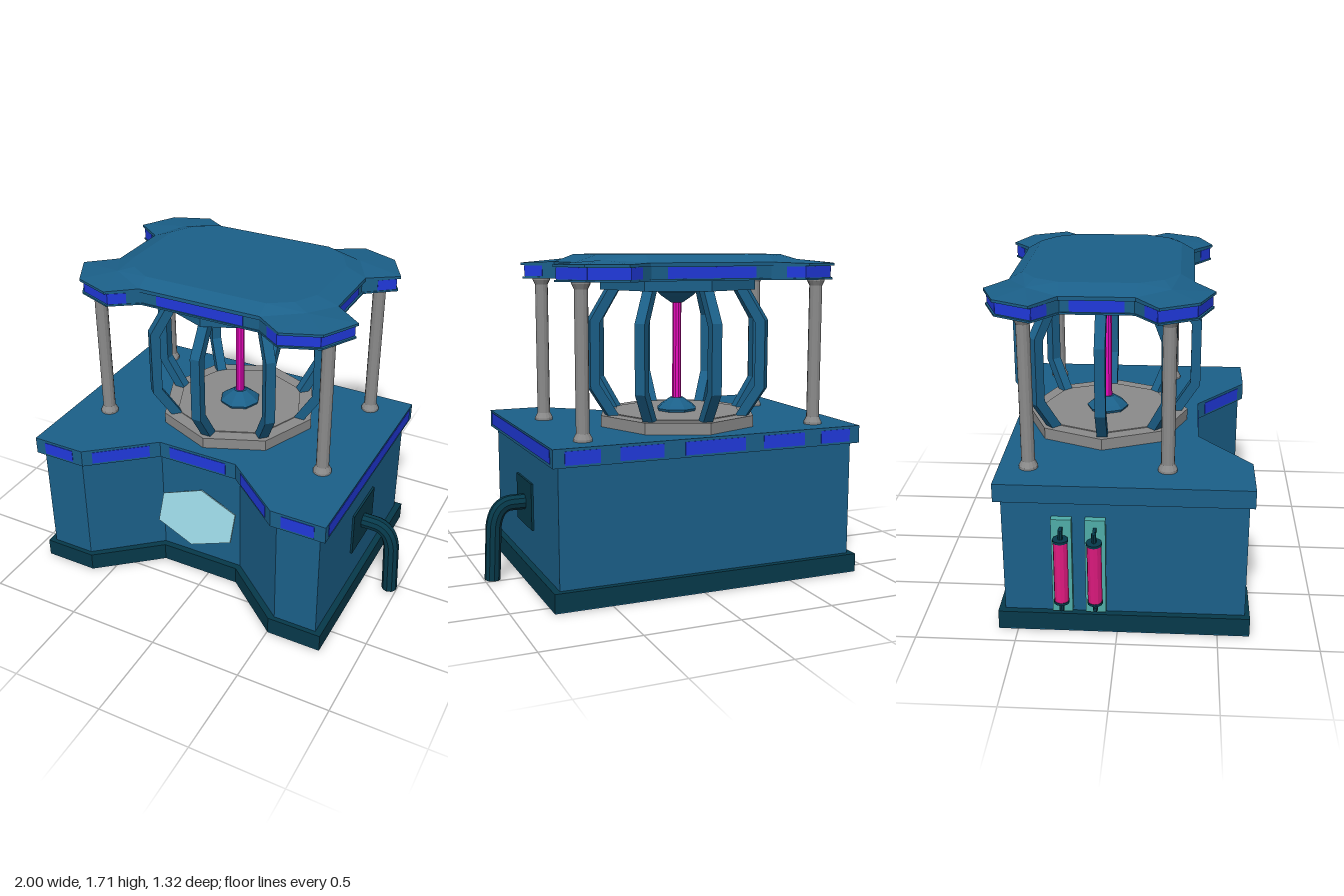
import * as THREE from 'three';
import { ConvexGeometry } from 'three/addons/geometries/ConvexGeometry.js';

const mat = (name, color) => {
  const m = new THREE.MeshStandardMaterial({ color });
  m.name = name;
  return m;
};

export function createModel() {
  const steel = mat('steelBlue', 0x1b6089);
  const dark = mat('darkTeal', 0x06394a);
  const glow = mat('panelBlue', 0x2039dc);
  const grey = mat('grey', 0x8b8b8b);
  const glass = mat('paleGlass', 0x92cbd8);
  const mint = mat('mint', 0x4fada8);
  const pink = mat('pink', 0xe01a80);
  const beam = mat('magenta', 0xf60cc8);

  const model = new THREE.Group();
  const CX = -0.05, CZ = -0.105; // centre of the chamber and the roof

  function add(name, geo, material, x = 0, y = 0, z = 0, parent = model) {
    const g = geo.index ? geo.toNonIndexed() : geo;
    g.computeVertexNormals();
    const m = new THREE.Mesh(g, material);
    m.name = name;
    m.position.set(x, y, z);
    parent.add(m);
    return m;
  }
  const box = (w, h, d) => new THREE.BoxGeometry(w, h, d);
  const cyl = (r1, r2, h, n) => new THREE.CylinderGeometry(r1, r2, h, n);
  const shapeOf = (pts) => new THREE.Shape(pts.map(([x, y]) => new THREE.Vector2(x, y)));
  const profile = (pts) => pts.map(([x, y]) => new THREE.Vector2(x, y));

  // Horizontal slab from a plan outline of [x, z] points
  function slab(pts, y0, y1) {
    const g = new THREE.ExtrudeGeometry(shapeOf(pts.map(([x, z]) => [x, -z])), { depth: y1 - y0, bevelEnabled: false });
    return g.rotateX(-Math.PI / 2).translate(0, y0, 0);
  }
  // Thin glowing plate along the edge a-b, between fractions t0 and t1
  function edgePanel(name, a, b, t0, t1, y, h) {
    const dx = b[0] - a[0], dz = b[1] - a[1], t = (t0 + t1) / 2;
    const p = add(name, box(Math.hypot(dx, dz) * (t1 - t0), h, 0.005), glow, a[0] + dx * t, y, a[1] + dz * t);
    p.rotation.y = -Math.atan2(dz, dx);
  }

  // Base with a notched front
  const outer = [[-0.9, -0.597], [-0.9, 0.66], [-0.605, 0.66], [-0.28, 0.39], [0.175, 0.39], [0.505, 0.66], [0.8, 0.66], [0.8, -0.597]];
  const inner = [[-0.865, -0.565], [-0.865, 0.635], [-0.625, 0.635], [-0.295, 0.355], [0.185, 0.355], [0.53, 0.635], [0.765, 0.635], [0.765, -0.565]];
  add('underside', slab(outer, 0, 0.004), steel);
  add('plinth', slab(outer, 0.004, 0.1), dark);
  add('baseBody', slab(inner, 0.1, 0.716), steel);
  add('deckTrim', slab(outer, 0.716, 0.81), steel);
  const front = [[1, 2, 0.2, 0.8], [2, 3, 0.13, 0.86], [3, 4, 0.13, 0.87], [4, 5, 0.15, 0.87], [5, 6, 0.2, 0.8]];
  for (const [i, j, t0, t1] of front) edgePanel('frontDeckPanel', outer[i], outer[j], t0, t1, 0.762, 0.068);
  edgePanel('rightDeckPanel', outer[6], outer[7], 0.03, 0.965, 0.766, 0.068);
  for (const [x0, x1] of [[-0.84, -0.665], [-0.565, -0.325], [-0.22, 0.115], [0.23, 0.46], [0.56, 0.74]])
    edgePanel('backDeckPanel', [x0, -0.597], [x1, -0.597], 0, 1, 0.762, 0.068);

  // Tilted hexagonal window
  const hex = [[-0.222, 0.078], [0, 0.156], [0.222, 0.078], [0.222, -0.078], [0, -0.156], [-0.222, -0.078]];
  const win = new THREE.ExtrudeGeometry(shapeOf(hex), { depth: 0.012, bevelEnabled: false }).translate(0, 0, -0.012);
  add('hexWindow', win, glass, -0.045, 0.41, 0.43).rotation.x = -0.4;

  // Side pipe and its plate
  add('pipePlate', box(0.016, 0.25, 0.295), dark, 0.768, 0.41, 0.035);
  const path = new THREE.CurvePath();
  const v = (x, y) => new THREE.Vector3(x, y, 0.033);
  path.add(new THREE.LineCurve3(v(0.77, 0.41), v(0.85, 0.41)));
  path.add(new THREE.QuadraticBezierCurve3(v(0.85, 0.41), v(0.93, 0.405), v(0.945, 0.29)));
  path.add(new THREE.LineCurve3(v(0.945, 0.29), v(0.958, 0)));
  add('pipe', new THREE.TubeGeometry(path, 24, 0.042, 10), dark);
  add('pipeEnd', new THREE.CircleGeometry(0.042, 10).rotateX(Math.PI / 2), dark, 0.958, 0.001, 0.033);

  // Canisters on the left side
  for (const [x, z, tilt] of [[-0.935, -0.27, 0], [-0.945, -0.105, 0.07]]) {
    add('canisterPlate', box(0.035, 0.515, 0.1), mint, -0.8825, 0.372, z);
    const can = new THREE.Group();
    can.name = 'canister';
    can.position.set(x, 0.368, z);
    can.rotation.z = tilt;
    model.add(can);
    add('canisterTube', cyl(0.036, 0.036, 0.335, 12), pink, 0, 0, 0, can);
    for (const s of [1, -1]) {
      add('canisterCap', cyl(0.039, 0.039, 0.013, 12), dark, 0, s * 0.17, 0, can);
      add('canisterNeck', cyl(0.012, 0.012, 0.05, 8), dark, 0, s * 0.2, 0, can);
      add('canisterArm', box(0.06, 0.016, 0.016), dark, -0.915, 0.368 + s * 0.215, z);
    }
  }

  // Chamber floor and ceiling
  add('chamberFloor', cyl(0.435, 0.435, 0.06, 8), grey, CX, 0.84, CZ);
  add('chamberFloorInset', cyl(0.36, 0.36, 0.006, 8), grey, CX, 0.872, CZ);
  add('chamberCeiling', cyl(0.435, 0.435, 0.06, 8), steel, CX, 1.562, CZ);

  // Eight bent ribs
  const ribOuter = [[0.4, 0.865], [0.5, 1.02], [0.5, 1.375], [0.4, 1.535]];
  const ribInner = [[0.34, 1.535], [0.448, 1.36], [0.448, 1.035], [0.34, 0.865]];
  for (let i = 0; i < 8; i++) {
    const g = new THREE.ExtrudeGeometry(shapeOf([...ribOuter, ...ribInner]), { depth: 0.054, bevelEnabled: false });
    add('rib', g.translate(0, 0, -0.027), steel, CX, 0, CZ).rotation.y = i * Math.PI / 4;
  }

  // Emitters and beam
  const dish = profile([[0, 0], [0.105, 0], [0.112, 0.018], [0.09, 0.038], [0.035, 0.075], [0, 0.075]]);
  add('lowerEmitter', new THREE.LatheGeometry(dish, 8), steel, CX, 0.87, CZ);
  add('upperEmitter', new THREE.LatheGeometry(dish, 8).rotateX(Math.PI), steel, CX, 1.533, CZ);
  add('beam', cyl(0.024, 0.024, 0.53, 10), beam, CX, 1.2, CZ);

  // Four columns with flared ends
  const col = profile([[0, 0], [0.048, 0], [0.048, 0.012], [0.034, 0.04], [0.034, 0.74], [0.046, 0.765], [0.046, 0.785], [0, 0.785]]);
  for (const sx of [-1, 1]) for (const sz of [-1, 1])
    add('column', new THREE.LatheGeometry(col, 14), grey, CX + sx * 0.65, 0.81, CZ + sz * 0.343);

  // Mirrors one quarter of an outline into a closed loop around the centre
  function fourfold(q, k = 1) {
    const r = [...q].reverse();
    const m = (list, sx, sz) => list.map(([x, z, ...y]) => [CX + sx * x * k, CZ + sz * z * k, ...y]);
    return [...m(q, 1, 1), ...m(r, -1, 1), ...m(q, -1, -1), ...m(r, 1, -1)];
  }

  // Roof with four corner flaps and a recessed band
  const roofQ = [[0.625, 0.18], [0.775, 0.295], [0.675, 0.48], [0.48, 0.555], [0.335, 0.455]];
  const roof = fourfold(roofQ), band = fourfold(roofQ, 0.975);
  add('roofLip', slab(roof, 1.655, 1.667), steel);
  add('roofBand', slab(band, 1.594, 1.655), steel);
  add('roofLowerLip', slab(fourfold(roofQ, 0.99), 1.585, 1.594), steel);

  // Panels wrap each flap, ending halfway into its notches; one more on each straight side
  const spans = [[0.46, 1], [0, 1], [0, 1], [0, 0.54], [0.13, 0.87]];
  band.forEach((p, i) => edgePanel('roofPanel', p, band[(i + 1) % band.length], ...spans[i % 5], 1.625, 0.056));

  // Bevelled crown, with the flaps sloping up to its corners
  const low = fourfold([[0.625, 0.18, 1.674], [0.53, 0.345, 1.688], [0.335, 0.455, 1.674]]);
  const high = fourfold([[0.515, 0.19, 1.713], [0.45, 0.31, 1.713], [0.335, 0.385, 1.713]]);
  const lift = (pts, y0) => pts.map(([x, z, y = y0]) => new THREE.Vector3(x, y, z));
  const foot = low.map(([x, z]) => [x, z]);
  add('roofCrown', new ConvexGeometry([...lift(foot, 1.66), ...lift(low), ...lift(high)]), steel);
  for (let i = 0; i < 4; i++) {
    const flap = roof.slice(i * 5, i * 5 + 5);
    add('roofFlap', new ConvexGeometry([...lift(flap, 1.66), ...lift(flap, 1.668), ...lift(low.slice(i * 3, i * 3 + 3))]), steel);
  }

  return model;
}
